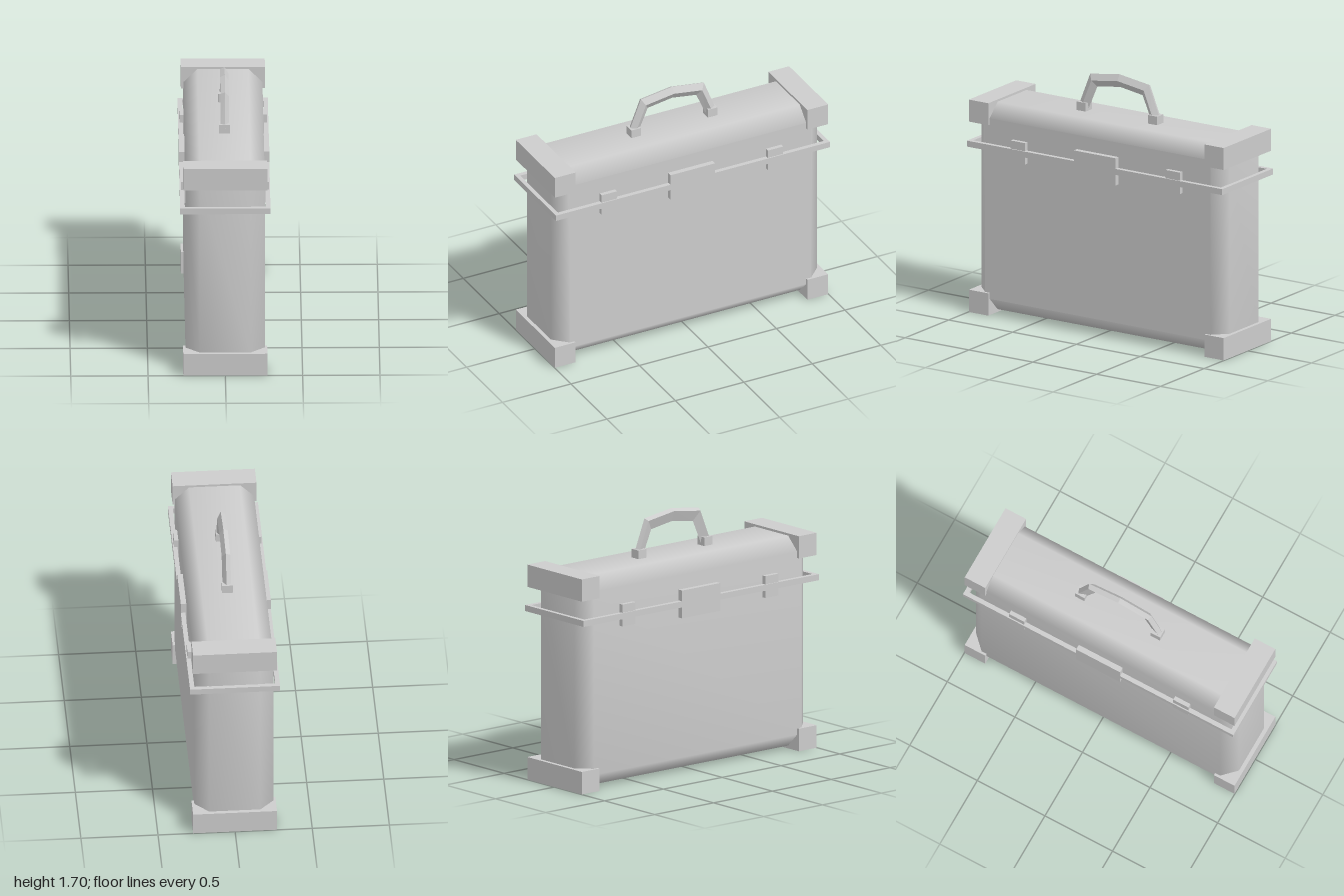
import * as THREE from 'three';
import { mergeVertices } from 'three/addons/utils/BufferGeometryUtils.js';
import { ConvexGeometry } from 'three/addons/geometries/ConvexGeometry.js';

// Chamfered block with softened normals and one flat side panel
function bodyGeometry(hx, hy, hz, b) {
  const points = [];
  for (const x of [-1, 1]) for (const y of [-1, 1]) for (const z of [-1, 1]) {
    points.push(
      new THREE.Vector3(x * hx, y * (hy - b), z * (hz - b)),
      new THREE.Vector3(x * (hx - b), y * hy, z * (hz - b)),
      new THREE.Vector3(x * (hx - b), y * (hy - b), z * hz));
  }
  let g = new ConvexGeometry(points);
  g.deleteAttribute('normal');
  g = mergeVertices(g);
  g.computeVertexNormals();
  g = g.toNonIndexed();
  const p = g.attributes.position, n = g.attributes.normal;
  for (let i = 0; i < p.count; i += 3) {
    if ([0, 1, 2].every(k => p.getX(i + k) > hx - 0.001)) {
      for (let k = 0; k < 3; k++) n.setXYZ(i + k, 1, 0, 0);
    }
  }
  return g;
}

// Four-sided faceted bar swept over an angular arch
function handleGeometry() {
  // Each station: outer z, outer y, inner z, inner y
  const half = [[0.316, 1.45, 0.245, 1.43], [0.23, 1.667, 0.177, 1.587]];
  const stations = [...half, [0, 1.70, 0, 1.614],
    ...half.slice().reverse().map(([a, b, c, d]) => [-a, b, -c, d])];
  // Each corner: x and fraction from outer to inner edge
  const section = [[0.005, 0], [0.03, 0.47], [0, 1], [-0.025, 0.18]];
  const loops = stations.map(([oz, oy, iz, iy]) => section.map(([x, t]) =>
    [x, oy + (iy - oy) * t, oz + (iz - oz) * t]));
  const pos = [];
  for (let s = 0; s < loops.length - 1; s++) for (let k = 0; k < 4; k++) {
    const m = (k + 1) % 4;
    const a = loops[s][k], b = loops[s][m], c = loops[s + 1][m], d = loops[s + 1][k];
    pos.push(...a, ...b, ...c, ...a, ...c, ...d);
  }
  const g = new THREE.BufferGeometry();
  g.setAttribute('position', new THREE.Float32BufferAttribute(pos, 3));
  g.computeVertexNormals();
  return g;
}

// Rectangular hoop lying flat, rising from y = 0
function bandGeometry(hx, hz, thick, height) {
  const rect = (path, x, z) => path.moveTo(-x, -z).lineTo(x, -z).lineTo(x, z).lineTo(-x, z).closePath();
  const shape = rect(new THREE.Shape(), hx, hz);
  shape.holes.push(rect(new THREE.Path(), hx - thick, hz - thick));
  return new THREE.ExtrudeGeometry(shape, { depth: height, bevelEnabled: false }).rotateX(-Math.PI / 2);
}

export function createModel() {
  const group = new THREE.Group();
  group.name = 'case';
  const grey = new THREE.MeshStandardMaterial({ color: 0xcccccc });
  grey.name = 'light grey';

  const add = (name, geometry, x = 0, y = 0, z = 0) => {
    const mesh = new THREE.Mesh(geometry, grey);
    mesh.name = name;
    mesh.position.set(x, y, z);
    group.add(mesh);
  };
  const box = (name, w, h, d, x, y, z) => add(name, new THREE.BoxGeometry(w, h, d), x, y, z);

  add('body', bodyGeometry(0.256, 0.698, 0.972, 0.09), 0, 0.717, 0);
  add('band', bandGeometry(0.292, 1.0, 0.03, 0.04), 0, 1.118, 0);
  add('handle', handleGeometry());

  for (const s of [-1, 1]) {
    // End guards and handle mounts
    box('lowerGuard', 0.544, 0.15, 0.152, 0, 0.075, s * 0.922);
    box('upperGuard', 0.544, 0.148, 0.152, 0, 1.356, s * 0.922);
    box('handleMount', 0.07, 0.075, 0.07, 0, 1.435, s * 0.28);
    // Clasp plate and hinges or latches on each broad side
    box('claspPlate', 0.05, 0.185, 0.325, s * 0.267, 1.137, 0);
    for (const e of [-1, 1]) box('latch', 0.04, 0.145, 0.112, s * 0.264, 1.14, e * 0.607);
  }
  return group;
}
